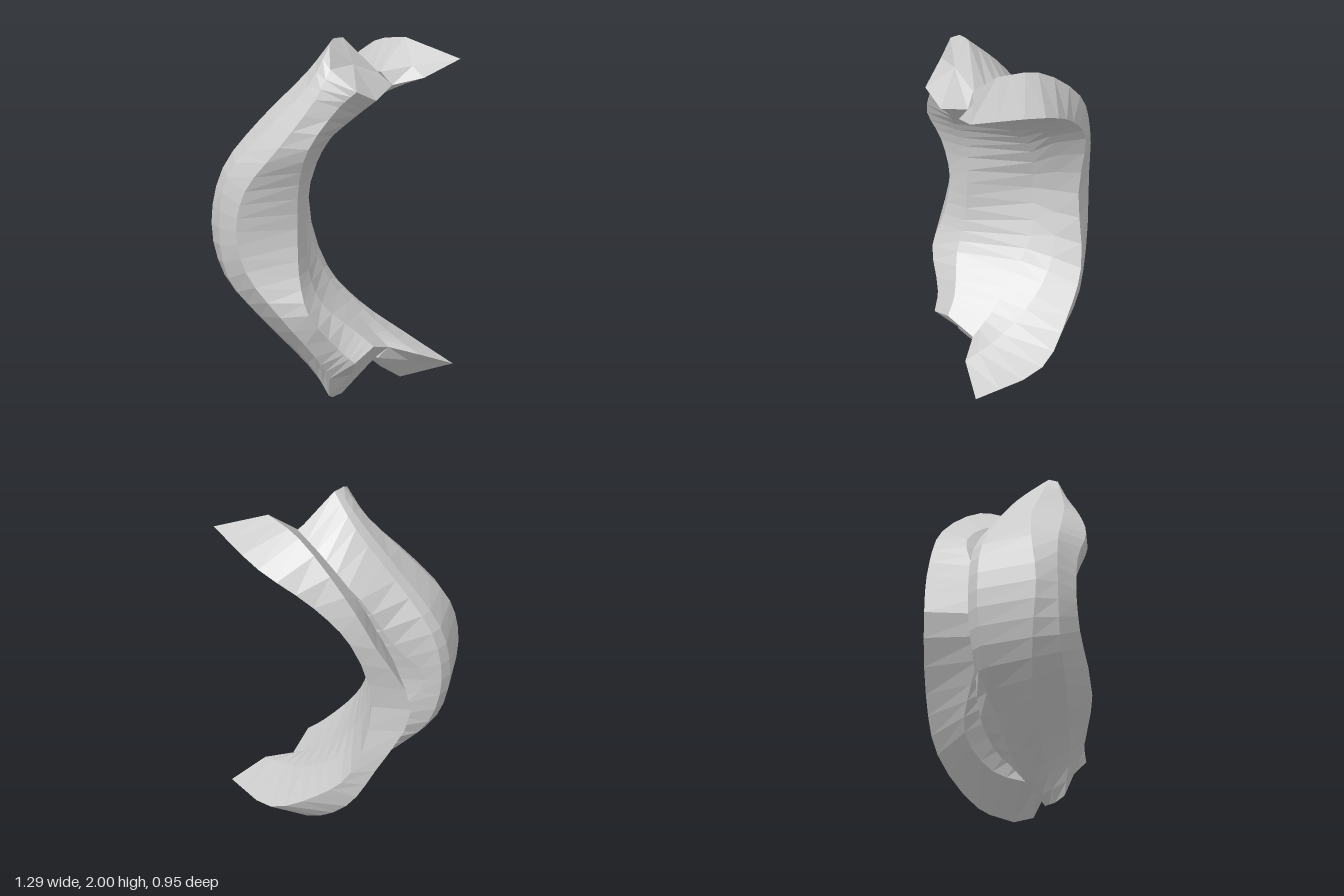
import * as THREE from 'three';

// Each rail runs lengthwise from the middle (y = 1) to the upper tip, as x, y, z.
// The lower half mirrors the upper half.
const SHARED = [-0.05, 1, -0.13, 0.02, 1.28, -0.10, 0.09, 1.47, 0.02, 0.20, 1.64, 0.18, 0.27, 1.74, 0.31]; // inner seam
const LARGE = [
  [-0.28, 1, 0.30, -0.29, 1.25, 0.34, -0.27, 1.45, 0.42, -0.10, 1.66, 0.43, -0.02, 1.74, 0.47], // front edge
  [-0.60, 1, 0.22, -0.56, 1.22, 0.25, -0.41, 1.46, 0.36, -0.22, 1.70, 0.39, -0.12, 1.85, 0.36],
  [-0.65, 1, 0.10, -0.61, 1.28, 0.12, -0.46, 1.49, 0.20, -0.22, 1.76, 0.30, -0.10, 1.97, 0.31], // outer side
  [-0.65, 1, -0.02, -0.58, 1.30, -0.02, -0.39, 1.56, 0.05, -0.17, 1.82, 0.18, -0.06, 2.00, 0.27],
  [-0.45, 1, -0.28, -0.40, 1.30, -0.24, -0.25, 1.58, -0.07, -0.09, 1.85, 0.11, -0.02, 2.00, 0.25],
  [-0.38, 1, -0.31, -0.33, 1.30, -0.27, -0.19, 1.58, -0.10, -0.04, 1.84, 0.08, 0.01, 2.00, 0.24], // back ridge
  [-0.30, 1, -0.27, -0.13, 1.24, -0.20, 0.03, 1.53, -0.12, 0.17, 1.69, 0.04, 0.22, 1.80, 0.26], // crevice edge
  SHARED,
  [-0.19, 1, 0.22, -0.19, 1.25, 0.24, -0.14, 1.43, 0.30, 0.04, 1.60, 0.36, 0.12, 1.68, 0.42], // inner side
];
const SMALL = [
  [-0.10, 1, -0.48, 0.08, 1.41, -0.415, 0.21, 1.70, -0.31, 0.34, 1.94, -0.04, 0.41, 1.98, 0.19], // back ridge
  [0.08, 1, -0.36, 0.20, 1.43, -0.35, 0.35, 1.63, -0.23, 0.56, 1.80, -0.02, 0.645, 1.87, 0.385], // inner edge
  [0.01, 1, -0.24, 0.12, 1.38, -0.20, 0.23, 1.55, -0.07, 0.34, 1.70, 0.15, 0.42, 1.78, 0.39],
  SHARED,
  [-0.18, 1, -0.13, -0.03, 1.36, -0.19, 0.09, 1.60, -0.19, 0.19, 1.77, 0.00, 0.22, 1.81, 0.27], // crevice flank
];

// Skin a closed ring of rails and cap both tips.
function skin(rails, steps) {
  const n = rails.length;
  const pos = [], idx = [];
  const curves = rails.map((r) => {
    const up = [];
    for (let i = 0; i < r.length; i += 3) up.push(new THREE.Vector3(r[i], r[i + 1], r[i + 2]));
    const down = up.slice(1).reverse().map((p) => new THREE.Vector3(p.x, 2 - p.y, p.z));
    return new THREE.CatmullRomCurve3([...down, ...up]);
  });
  for (let s = 0; s <= steps; s++) {
    for (const c of curves) pos.push(...c.getPoint(s / steps).toArray());
  }
  for (let s = 0; s < steps; s++) {
    for (let i = 0; i < n; i++) {
      const j = (i + 1) % n;
      const a = s * n + i, b = s * n + j, c = a + n, d = b + n;
      idx.push(a, c, b, b, c, d);
    }
  }
  for (const top of [false, true]) {
    const start = top ? steps * n : 0;
    const mid = new THREE.Vector3();
    for (const c of curves) mid.addScaledVector(c.getPoint(top ? 1 : 0), 1 / n);
    const m = pos.length / 3;
    pos.push(mid.x, mid.y, mid.z);
    for (let i = 0; i < n; i++) {
      const a = start + i, b = start + (i + 1) % n;
      if (top) idx.push(m, b, a);
      else idx.push(m, a, b);
    }
  }
  const g = new THREE.BufferGeometry();
  g.setAttribute('position', new THREE.Float32BufferAttribute(pos, 3));
  g.setIndex(idx);
  g.computeVertexNormals();
  return g;
}

export function createModel() {
  const group = new THREE.Group();
  group.name = 'twinCrescent';
  const material = new THREE.MeshStandardMaterial({ color: 0xcccccc, flatShading: true });
  for (const [name, rails] of [['largeCrescent', LARGE], ['smallCrescent', SMALL]]) {
    const mesh = new THREE.Mesh(skin(rails, 24), material);
    mesh.name = name;
    group.add(mesh);
  }
  return group;
}
